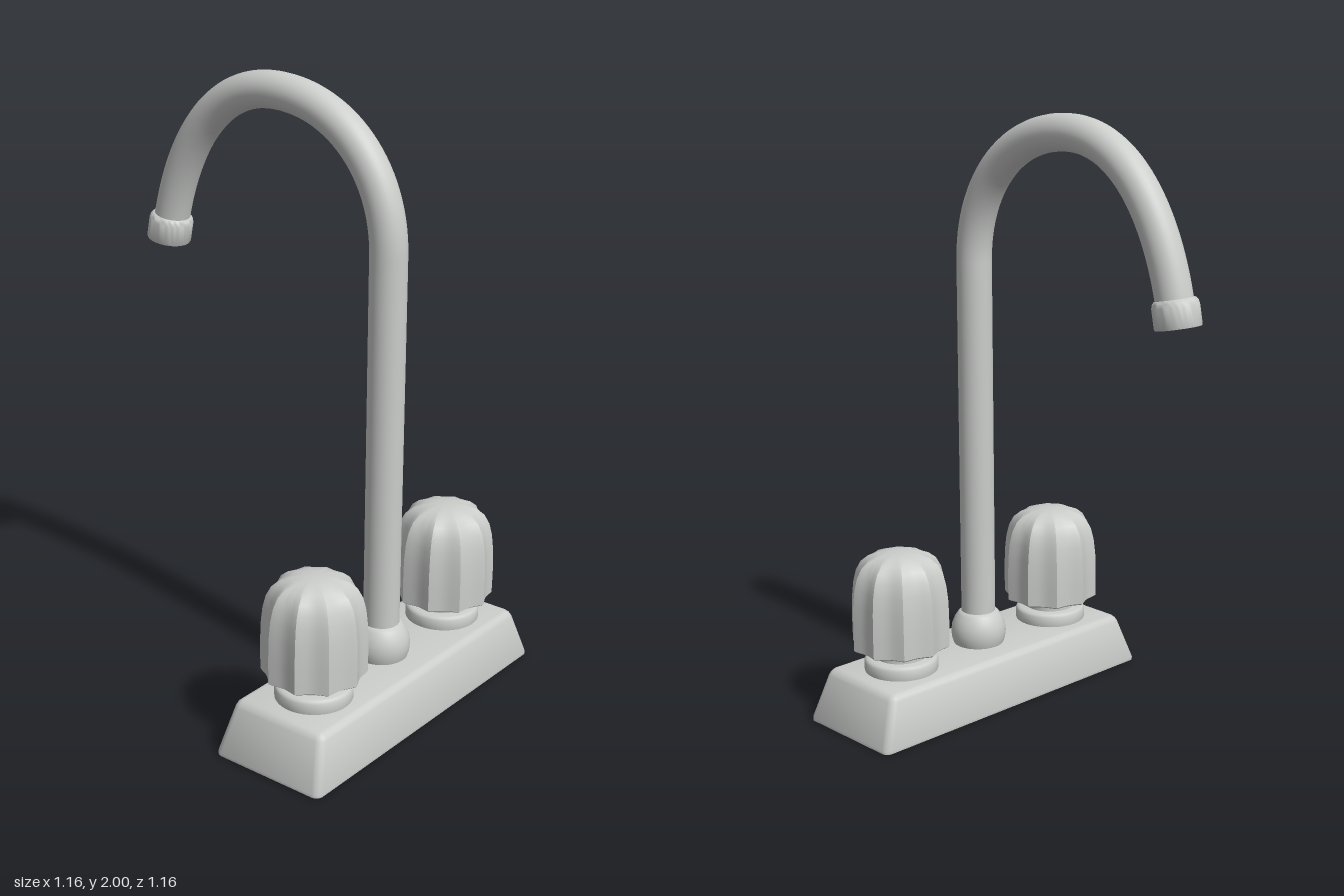
import * as THREE from 'three';
import { toCreasedNormals } from 'three/addons/utils/BufferGeometryUtils.js';

const Z = 0.378; // depth of the column and handles
const KNOB_X = 0.345;

const lathe = (pts, segments = 48, start = 0) =>
  new THREE.LatheGeometry(pts.map(([r, y]) => new THREE.Vector2(r, y)), segments, start);

// Tapered base: a lathe profile whose quadrants are pushed out to a rectangle
function baseGeometry() {
  const profile = [[0, 0], [0.018, 0], [0.026, 0.004], [0.03, 0.014], [0.03, 0.158],
    [0.027, 0.168], [0.02, 0.176], [0.009, 0.18], [0, 0.18]];
  const geo = lathe(profile, 20, Math.PI / 20);
  const p = geo.attributes.position;
  for (let i = 0; i < p.count; i++) {
    const j = i % profile.length;
    if (j === 0 || j === profile.length - 1) continue; // cap centres
    const k = p.getY(i) / 0.18;
    p.setX(i, p.getX(i) + Math.sign(p.getX(i)) * (0.554 - 0.063 * k));
    p.setZ(i, p.getZ(i) + Math.sign(p.getZ(i)) * (0.176 - 0.036 * k));
  }
  return toCreasedNormals(geo, 0.7);
}

// Domed knob with ten sharp ridges and hollow flutes between them
function knobGeometry() {
  const geo = lathe([[0, 0.26], [0.155, 0.26], [0.164, 0.266], [0.165, 0.34], [0.163, 0.42],
    [0.157, 0.475], [0.147, 0.515], [0.13, 0.546], [0.105, 0.566], [0.07, 0.579],
    [0.035, 0.584], [0, 0.585]], 80);
  const p = geo.attributes.position;
  for (let i = 0; i < p.count; i++) {
    const x = p.getX(i), z = p.getZ(i), r = Math.hypot(x, z);
    const s = 1 - 0.095 * Math.abs(Math.sin(5 * Math.atan2(x, z))) * Math.min(1, r / 0.13);
    p.setX(i, x * s);
    p.setZ(i, z * s);
  }
  return toCreasedNormals(geo, 0.5);
}

export function createModel() {
  const model = new THREE.Group();
  const metal = new THREE.MeshStandardMaterial({ color: 0xcbcdcb });
  metal.name = 'light grey metal';

  const add = (parent, name, geo, x = 0, y = 0, z = 0) => {
    const mesh = new THREE.Mesh(geo, metal);
    mesh.name = name;
    mesh.position.set(x, y, z);
    parent.add(mesh);
    return mesh;
  };

  add(model, 'base', baseGeometry(), 0, 0, Z);

  // Handles
  const knob = knobGeometry();
  const stem = new THREE.CylinderGeometry(0.085, 0.085, 0.06, 40);
  const collar = toCreasedNormals(lathe([[0, 0.175], [0.12, 0.175], [0.122, 0.182],
    [0.122, 0.214], [0.117, 0.222], [0.108, 0.225], [0, 0.225]]), 0.8);
  for (const [name, side] of [['leftHandle', 1], ['rightHandle', -1]]) {
    const handle = new THREE.Group();
    handle.name = name;
    handle.position.set(side * KNOB_X, 0, Z);
    add(handle, 'collar', collar);
    add(handle, 'stem', stem, 0, 0.24, 0);
    add(handle, 'knob', knob);
    model.add(handle);
  }

  // Rounded socket at the foot of the spout
  add(model, 'spoutSocket', lathe([[0.084, 0.175], [0.091, 0.195], [0.094, 0.22], [0.091, 0.245],
    [0.082, 0.268], [0.071, 0.285], [0.063, 0.293], [0.05, 0.296]]), 0, 0, Z);

  // Gooseneck spout
  const v = (y, z) => new THREE.Vector3(0, y, z);
  const path = new THREE.CurvePath();
  path.add(new THREE.LineCurve3(v(0.18, Z), v(1.5, Z)));
  path.add(new THREE.CubicBezierCurve3(v(1.5, Z), v(1.76, Z), v(1.942, 0.19), v(1.942, -0.06)));
  path.add(new THREE.CubicBezierCurve3(v(1.942, -0.06), v(1.942, -0.3), v(1.72, -0.447), v(1.45, -0.5)));
  add(model, 'spout', new THREE.TubeGeometry(path, 120, 0.058, 32));

  // Nozzle at the spout tip, local +y pointing along the flow
  const nozzle = add(model, 'nozzle', toCreasedNormals(lathe([[0.05, -0.012], [0.062, -0.01],
    [0.069, -0.002], [0.072, 0.01], [0.072, 0.07], [0.07, 0.075], [0, 0.075]]), 0.9), 0, 1.478, -0.496);
  nozzle.quaternion.setFromUnitVectors(new THREE.Vector3(0, 1, 0), v(-0.98, -0.195).normalize());

  return model;
}
